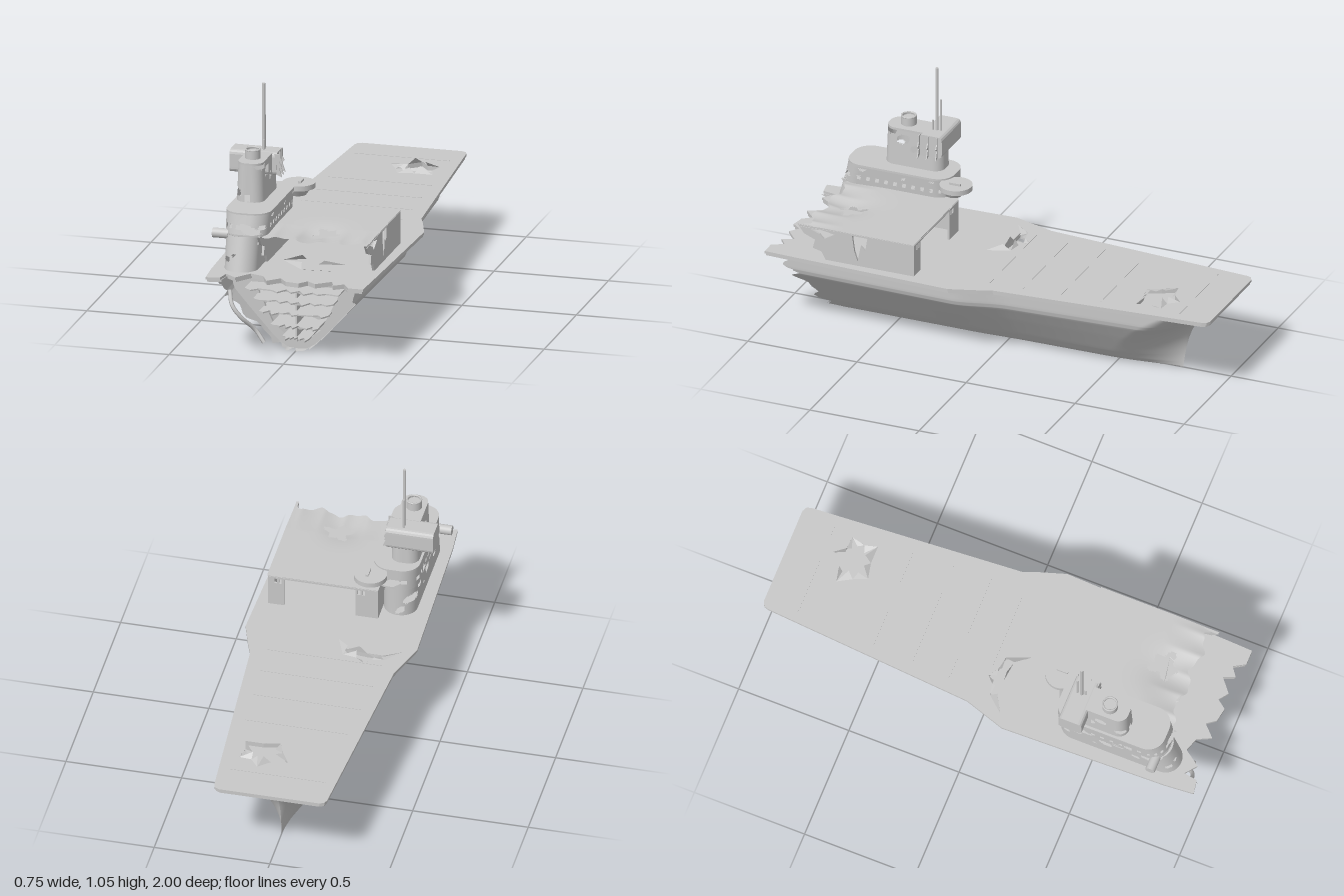
import * as THREE from 'three';

const steel = new THREE.MeshStandardMaterial({ color: 0xc8c8c8, side: THREE.DoubleSide });
steel.name = 'grey steel';
const { lerp, clamp, smoothstep } = THREE.MathUtils;
let seed = 7;
const rnd = () => (seed = (seed * 16807) % 2147483647) / 2147483647;

function add(parent, name, geo, x = 0, y = 0, z = 0) {
  const m = new THREE.Mesh(geo, steel);
  m.name = name;
  m.position.set(x, y, z);
  parent.add(m);
  return m;
}

// Smooth grid surface; triangles whose centre satisfies hole() are left out.
function sheet(nu, nv, f, hole = () => false) {
  const pos = [], idx = [], c = new THREE.Vector3();
  for (let j = 0; j <= nv; j++) for (let i = 0; i <= nu; i++) pos.push(...f(i / nu, j / nv));
  const tri = (...t) => {
    c.set(0, 0, 0);
    t.forEach(k => { c.x += pos[3 * k] / 3; c.y += pos[3 * k + 1] / 3; c.z += pos[3 * k + 2] / 3; });
    if (!hole(c.x, c.y, c.z)) idx.push(...t);
  };
  for (let j = 0; j < nv; j++) for (let i = 0; i < nu; i++) {
    const a = j * (nu + 1) + i, b = a + nu + 1;
    tri(a, b, a + 1);
    tri(a + 1, b, b + 1);
  }
  const g = new THREE.BufferGeometry();
  g.setAttribute('position', new THREE.Float32BufferAttribute(pos, 3));
  g.setIndex(idx);
  g.computeVertexNormals();
  return g;
}

// Flat plate from [a, b] points with optional holes.
const vec = pts => pts.map(([a, b]) => new THREE.Vector2(a, b));
function plate(pts, depth, holes = []) {
  const s = new THREE.Shape(vec(pts));
  holes.forEach(h => s.holes.push(new THREE.Path(vec(h))));
  return new THREE.ExtrudeGeometry(s, { depth, bevelEnabled: false });
}
// Horizontal plate from [x, z] points, thickness rising from y = 0.
const flat = (pts, depth, holes = []) => {
  const flip = p => p.map(([x, z]) => [x, -z]);
  return plate(flip(pts), depth, holes.map(flip)).rotateX(-Math.PI / 2);
};
const rect = (a0, a1, b0, b1) => [[a0, b0], [a1, b0], [a1, b1], [a0, b1]];

function roundRect(x0, x1, z0, z1, r, n = 150) {
  const s = new THREE.Shape(), h = Math.PI / 2;
  s.absarc(x1 - r, z1 - r, r, 0, h);
  s.absarc(x0 + r, z1 - r, r, h, 2 * h);
  s.absarc(x0 + r, z0 + r, r, 2 * h, 3 * h);
  s.absarc(x1 - r, z0 + r, r, 3 * h, 4 * h);
  s.closePath();
  return s.getSpacedPoints(n).map(p => [p.x, p.y]);
}
// Hollow wall lofted between two rounded footprints.
function shell(y0, foot0, y1, foot1, rows, hole) {
  const A = roundRect(...foot0), B = roundRect(...foot1), n = A.length - 1;
  return sheet(n, rows, (u, v) => {
    const k = Math.round(u * n);
    return [lerp(A[k][0], B[k][0], v), lerp(y0, y1, v), lerp(A[k][1], B[k][1], v)];
  }, hole);
}

// Ring of bent shards around a torn hole given as [x, z] points.
function shards(pts, y, lift, reach = 0.25) {
  const pos = [], n = pts.length;
  const cx = pts.reduce((s, p) => s + p[0], 0) / n, cz = pts.reduce((s, p) => s + p[1], 0) / n;
  pts.forEach(([x, z], i) => {
    const [x2, z2] = pts[(i + 1) % n], k = reach * (0.7 + 1.2 * rnd());
    pos.push(x, y, z, x2, y, z2, lerp((x + x2) / 2, cx, k), y + lift * (rnd() * 1.6 - 0.6), lerp((z + z2) / 2, cz, k));
  });
  const g = new THREE.BufferGeometry();
  g.setAttribute('position', new THREE.Float32BufferAttribute(pos, 3));
  g.computeVertexNormals();
  return g;
}

// Hull: half-width by height; follows the deck's plan and sharpens to a raked stem at -z
const PROFILE = [[0, 0], [0.045, 0.004], [0.08, 0.025], [0.125, 0.065], [0.225, 0.17], [0.292, 0.243], [0.3, 0.265], [0.302, 0.336]];
function profileAt(s) {
  const t = s * (PROFILE.length - 1), i = Math.min(Math.floor(t), PROFILE.length - 2);
  return [0, 1].map(k => lerp(PROFILE[i][k], PROFILE[i + 1][k], t - i));
}
const planScale = z => 1 - 0.06 * clamp((z - 0.14) / 0.86, 0, 1)
  - 0.16 * (1 - smoothstep(z, -0.08, 0.16)) - 0.18 * clamp((-0.04 - z) / 0.96, 0, 1);
function hullPoint(u, v) {
  const s = v * 2 - 1, [w, y] = profileAt(Math.abs(s)), k = y / 0.336;
  const stem = -0.78 - 0.05 * k - 0.13 * Math.pow(k, 3.5);
  const jag = 0.035 * Math.abs(((s * 9 + 20) % 1) * 2 - 1) + 0.02 * Math.sin(s * 31);
  const z = lerp(stem, 0.78 + 0.1 * k + 0.08 * Math.pow(k, 6) + jag, Math.pow(u, 1.4));
  const f = clamp((z - stem) / lerp(0.34, 0.16, k), 0, 1);
  const half = w * planScale(z) * Math.pow(Math.sin(f * Math.PI / 2), lerp(1.1, 0.5, k));
  return [half * Math.sign(s), y, z];
}
const hullGash = (x, y, z) => x < 0 && z > -0.45 && z < 0.72 && Math.sin(z * 11 + 1) > -0.5
  && Math.abs(y - 0.27 - 0.025 * Math.sin(z * 15)) < 0.011 + 0.005 * Math.sin(z * 47);

function buildHull(g) {
  add(g, 'hull', sheet(150, 84, hullPoint, hullGash));
  // Broken end: frame, back wall, floors and centre bulkhead
  const side = PROFILE.map(([x, y]) => [x * 0.945, y + 0.002]);
  const outline = [...side, ...side.slice(1).reverse().map(([x, y]) => [-x, y])];
  const opening = [[-0.19, 0.28], [0.195, 0.28], [0.1, 0.09], [0.05, 0.05], [-0.05, 0.05], [-0.1, 0.09]];
  add(g, 'brokenFrame', plate(outline, 0.015, [opening]), 0, 0, 0.76);
  add(g, 'innerBulkhead', plate(outline, 0.01), 0, 0, 0.5);
  [[0.275, 0.205], [0.225, 0.175], [0.17, 0.15], [0.11, 0.105], [0.055, 0.06]].forEach(([y, w]) => {
    const pts = [[-w, 0.5], [w, 0.5]];
    for (let i = 0; i <= 14; i++) pts.push([w - 2 * w * i / 14, 0.79 + 0.2 * y + (i % 2 ? 0.05 : 0) * rnd() + 0.03 * rnd()]);
    add(g, 'brokenFloor', flat(pts, 0.006), 0, y, 0);
    // Torn lip hanging from the floor edge
    const lip = [[-w, 0.004], [w, 0.004]];
    for (let i = 0; i <= 12; i++) lip.push([w - 2 * w * i / 12, -0.002 - 0.016 * rnd() * rnd()]);
    add(g, 'tornLip', plate(lip, 0.004), 0, y, 0.785 + 0.2 * y);
  });
  add(g, 'centreBulkhead', new THREE.BoxGeometry(0.007, 0.24, 0.3), 0, 0.16, 0.65);
  const bent = [[-0.265, 0.27, 0.89], [-0.24, 0.22, 0.94], [-0.2, 0.17, 0.94], [-0.15, 0.11, 0.9], [-0.11, 0.06, 0.91]];
  const path = new THREE.CatmullRomCurve3(bent.map(p => new THREE.Vector3(...p)));
  add(g, 'bentPipe', new THREE.TubeGeometry(path, 20, 0.009, 6));
}

function buildDeck(g) {
  const front = [[0.35, 0.87], [0.345, 0.99], [0.28, 0.99], [0.25, 0.94], [0.21, 0.97], [0.19, 0.92], [0.13, 0.97],
    [0.09, 0.94], [0.06, 0.98], [0, 0.97], [-0.03, 0.93], [-0.08, 0.98], [-0.11, 0.92], [-0.17, 0.9],
    [-0.22, 0.97], [-0.27, 0.93], [-0.28, 0.99], [-0.34, 1], [-0.35, 0.87]];
  const outline = [[-0.368, 0.14], [-0.31, -0.04], [-0.242, -0.97], [-0.235, -0.99], [-0.215, -1],
    [0.22, -1], [0.24, -0.99], [0.247, -0.97], [0.312, -0.04], [0.335, 0.02], [0.374, 0.14], ...front];
  const crater = [[-0.02, -0.75], [0.05, -0.765], [0.1, -0.81], [0.135, -0.765], [0.19, -0.76], [0.175, -0.7],
    [0.19, -0.645], [0.11, -0.645], [0.04, -0.63], [0.015, -0.69]];
  const tear = [[-0.31, 0.11], [-0.25, 0.04], [-0.2, 0.03], [-0.17, 0.0], [-0.13, 0.03], [-0.07, 0.04],
    [-0.03, 0.14], [-0.08, 0.08], [-0.17, 0.07], [-0.24, 0.07]];
  add(g, 'flightDeck', flat(outline, 0.011, [crater, tear]), 0, 0.344, 0);
  const lower = outline.map(([x, z]) => [x * 0.985, z * 0.995]);
  add(g, 'deckRim', flat(lower, 0.01, [crater, tear]), 0, 0.334, 0);
  add(g, 'underDeck', flat([[-0.2, -0.8], [0.2, -0.8], [0.24, 0.2], [-0.24, 0.2]], 0.005), 0, 0.31, 0);
  add(g, 'craterShards', shards(crater, 0.354, 0.036));
  add(g, 'tearShards', shards(tear, 0.354, 0.036));
  [-0.85, -0.5, -0.32, -0.15, 0.0].forEach(z =>
    add(g, 'deckSeam', new THREE.BoxGeometry(0.4 + 0.1 * (z + 1), 0.002, 0.005), 0, 0.3555, z));
}

function buildHangar(g) {
  const y0 = 0.354, y1 = 0.5;
  // Dented roof with a hole and a ragged front edge
  const roof = (u, v) => {
    const x = lerp(-0.157, 0.322, u);
    const edge = 0.81 + 0.015 * Math.sin(x * 38) + 0.005 * Math.sin(x * 97) + 0.05 * clamp((x - 0.3) / 0.02, 0, 1);
    const z = lerp(0.315, edge, v), d = Math.hypot(x - 0.07, (z - 0.72) * 0.9);
    const ripple = 0.008 * Math.sin(x * 33) * clamp((z - 0.65) / 0.15, 0, 1);
    return [x, 0.506 - 0.02 * Math.exp(-d * d / 0.008) - Math.abs(ripple), z];
  };
  const hole = (x, y, z) => {
    const a = Math.atan2(z - 0.69, x - 0.1);
    return Math.hypot(x - 0.1, z - 0.69) < 0.055 + 0.012 * Math.sin(a * 5) + 0.008 * Math.sin(a * 3 + 1);
  };
  add(g, 'hangarRoof', sheet(60, 60, roof, hole));
  add(g, 'roofUnderside', sheet(60, 60, (u, v) => { const p = roof(u, v); p[1] -= 0.008; return p; }, hole));
  // Back wall with a wide doorway and windows
  const wins = x => [rect(x, x + 0.012, 0.465, 0.488), rect(x + 0.02, x + 0.032, 0.465, 0.488)];
  add(g, 'hangarBackWall', plate(rect(-0.155, -0.06, y0, y1), 0.01, wins(-0.1)), 0, 0, 0.317);
  add(g, 'hangarBackWall', plate(rect(0.25, 0.32, y0, y1), 0.01, wins(0.26)), 0, 0, 0.317);
  add(g, 'doorLintel', new THREE.BoxGeometry(0.32, 0.012, 0.01), 0.095, 0.495, 0.322);
  // Side walls, torn at the broken end
  const wall = [[0.317, y0], [0.72, y0], [0.74, 0.39], [0.78, 0.4], [0.77, 0.44], [0.82, 0.46], [0.85, 0.5], [0.317, y1]];
  const gash = [[0.53, 0.49], [0.54, 0.43], [0.56, 0.45], [0.575, 0.375], [0.59, 0.42], [0.6, 0.49]];
  const scar = [[0.68, 0.48], [0.73, 0.45], [0.75, 0.47], [0.79, 0.485], [0.74, 0.49]];
  const toSide = geo => geo.rotateY(-Math.PI / 2);
  add(g, 'hangarLeftWall', toSide(plate(wall, 0.01, [gash, scar])), 0.32, 0, 0);
  add(g, 'hangarRightWall', toSide(plate(wall, 0.01)), -0.147, 0, 0);
  // Rubble on the hangar floor
  const heap = [[-0.09, 0.68], [0, 0.64], [0.07, 0.7], [0.19, 0.68], [0.15, 0.78], [0.02, 0.79]];
  add(g, 'rubble', shards(heap, 0.356, 0.035));
}

function buildTower(g) {
  // Irregular holes from a sum of waves, plus a belt of windows
  const torn = (limit) => (x, y, z) =>
    Math.sin(x * 43 + y * 31) + Math.sin(z * 37 - y * 47 + 1) + 0.7 * Math.sin(y * 83 + z * 61 + x * 29) > limit;
  const belt = (x, y, z) => y > 0.527 && y < 0.544 && Math.sin((x + z) * 150) > 0.35;
  const low = torn(1.35), mid = torn(1.3), high = torn(1.4);
  const base = [-0.302, -0.158, 0.36, 0.9, 0.07], waist = [-0.306, -0.158, 0.36, 0.86, 0.07];
  const sill = [-0.312, -0.125, 0.35, 0.85, 0.075], ledge = [-0.315, -0.118, 0.35, 0.83, 0.075];
  add(g, 'towerBase', shell(0.354, base, 0.5, waist, 18, low));
  add(g, 'towerLedge', flat(roundRect(...sill), 0.008), 0, 0.497, 0);
  add(g, 'towerBridge', shell(0.5, sill, 0.588, ledge, 14, (x, y, z) => belt(x, y, z) || (y > 0.508 && y < 0.578 && mid(x, y, z))));
  add(g, 'bridgeRoof', flat(roundRect(...ledge), 0.009), 0, 0.586, 0);
  const block = [-0.305, -0.185, 0.41, 0.675, 0.045], blockTop = [-0.3, -0.19, 0.415, 0.67, 0.045];
  const slit = (x, y, z) => (z > 0.6 && Math.abs(x + 0.25) < 0.011 && y > 0.595 && y < 0.625);
  add(g, 'upperTower', shell(0.59, block, 0.755, blockTop, 18, (x, y, z) => slit(x, y, z) || (z > 0.52 && high(x, y, z))));
  add(g, 'upperTowerRoof', flat(roundRect(-0.3, -0.19, 0.415, 0.67, 0.045), 0.01), 0, 0.754, 0);
  // Control box across the upper tower, torn at its inner end
  const box = plate(roundRect(0.4, 0.505, 0.667, 0.765, 0.018, 40), 0.205);
  add(g, 'controlBox', box.rotateY(-Math.PI / 2), -0.17, 0, 0);
  const scrap = [[0, 0], [0.02, 0], [0.02, -0.03], [0.03, -0.05], [0.02, -0.06], [0.034, -0.1], [0.01, -0.09], [0.012, -0.05]];
  [0.42, 0.46, 0.5].forEach((z, i) => add(g, 'tornPlating', plate(scrap, 0.005), -0.187 + i * 0.004, 0.762, z));
  // Lookout platform
  add(g, 'lookoutPlatform', new THREE.CylinderGeometry(0.07, 0.07, 0.022, 40), -0.125, 0.577, 0.315);
  add(g, 'lookoutBracket', new THREE.CylinderGeometry(0.055, 0.035, 0.03, 32), -0.125, 0.552, 0.325);
  add(g, 'lookoutPost', new THREE.BoxGeometry(0.012, 0.012, 0.05), -0.115, 0.592, 0.315);
  // Funnel, side drum and masts
  add(g, 'funnel', new THREE.CylinderGeometry(0.033, 0.033, 0.04, 32, 1, true), -0.25, 0.785, 0.585);
  add(g, 'funnelLining', new THREE.CylinderGeometry(0.026, 0.026, 0.03, 32), -0.25, 0.78, 0.585);
  add(g, 'funnelLip', new THREE.TorusGeometry(0.03, 0.004, 8, 32).rotateX(Math.PI / 2), -0.25, 0.802, 0.585);
  add(g, 'sideDrum', new THREE.CylinderGeometry(0.021, 0.021, 0.07, 28).rotateZ(Math.PI / 2), -0.326, 0.494, 0.81);
  [[-0.24, 0.452, 1.055, 0.007], [-0.24, 0.433, 0.91, 0.004], [-0.235, 0.468, 0.81, 0.004]].forEach(([x, z, top, r]) =>
    add(g, 'mast', new THREE.CylinderGeometry(r, r, top - 0.755, 12), x, (top + 0.755) / 2, z));
}

export function createModel() {
  const model = new THREE.Group();
  model.name = 'wreckedCarrier';
  const parts = { hull: buildHull, deck: buildDeck, hangar: buildHangar, tower: buildTower };
  for (const [name, build] of Object.entries(parts)) {
    const g = new THREE.Group();
    g.name = name;
    build(g);
    model.add(g);
  }
  return model;
}
